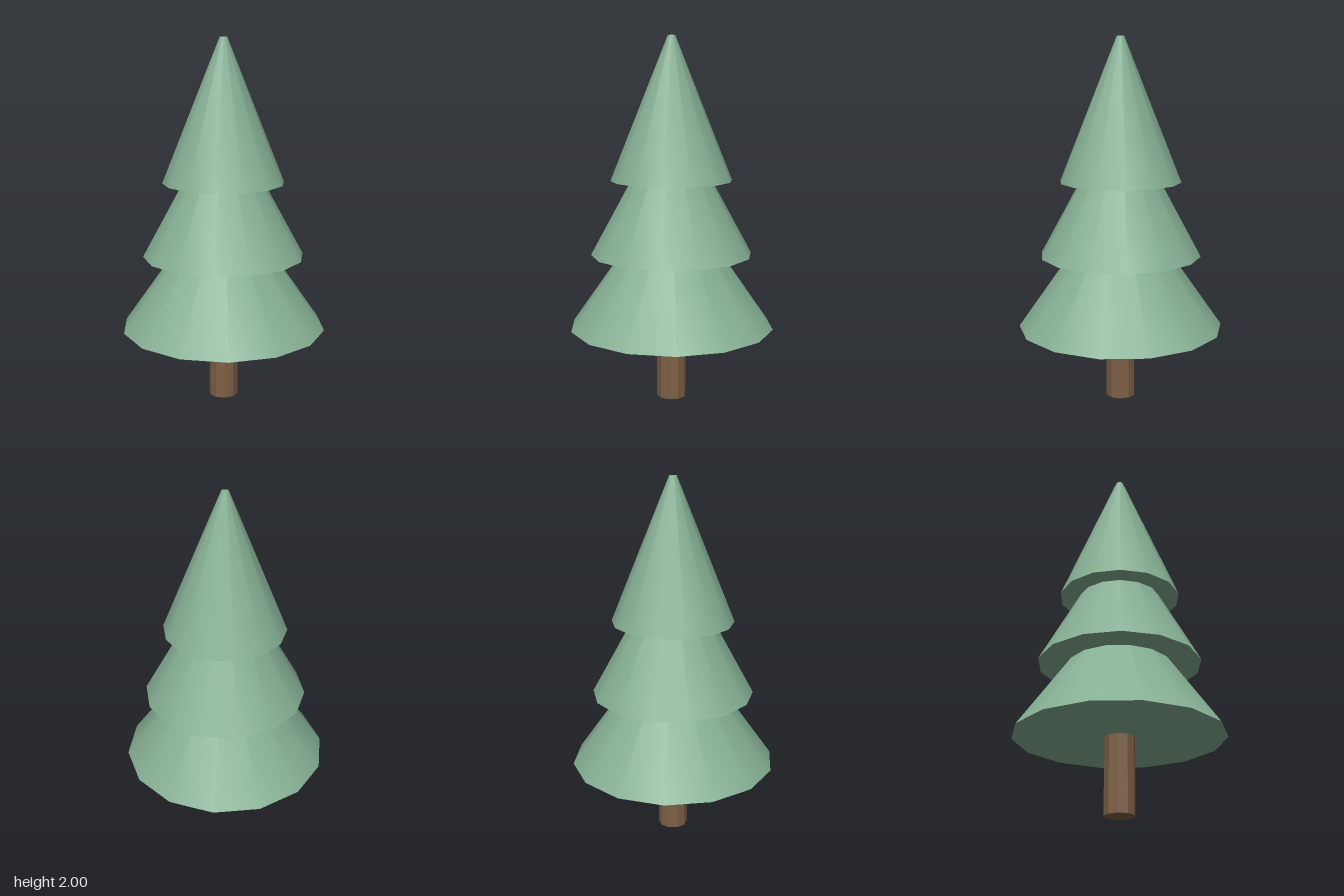
import * as THREE from 'three';

export function createModel() {
  const tree = new THREE.Group();
  tree.name = 'tree';
  const needles = new THREE.MeshStandardMaterial({ color: 0x86b094 });
  const bark = new THREE.MeshStandardMaterial({ color: 0x7d6045, flatShading: true });

  // Ten-sided trunk
  const trunk = new THREE.Mesh(new THREE.CylinderGeometry(0.082, 0.082, 0.41, 10), bark);
  trunk.name = 'trunk';
  trunk.position.y = 0.205;
  tree.add(trunk);

  // Three nested, closed cones of equal height, narrower towards the top
  const height = 0.776;
  const tiers = [
    { name: 'lowerBranches', radius: 0.566, base: 0.41, turn: 0.212 },
    { name: 'middleBranches', radius: 0.444, base: 0.817, turn: 0.036 },
    { name: 'upperBranches', radius: 0.333, base: 1.224, turn: 0.03 },
  ];
  for (const { name, radius, base, turn } of tiers) {
    const tier = new THREE.Mesh(new THREE.CylinderGeometry(0.02, radius, height, 14), needles);
    tier.name = name;
    tier.position.y = base + height / 2;
    tier.rotation.y = turn;
    tree.add(tier);
  }
  return tree;
}
